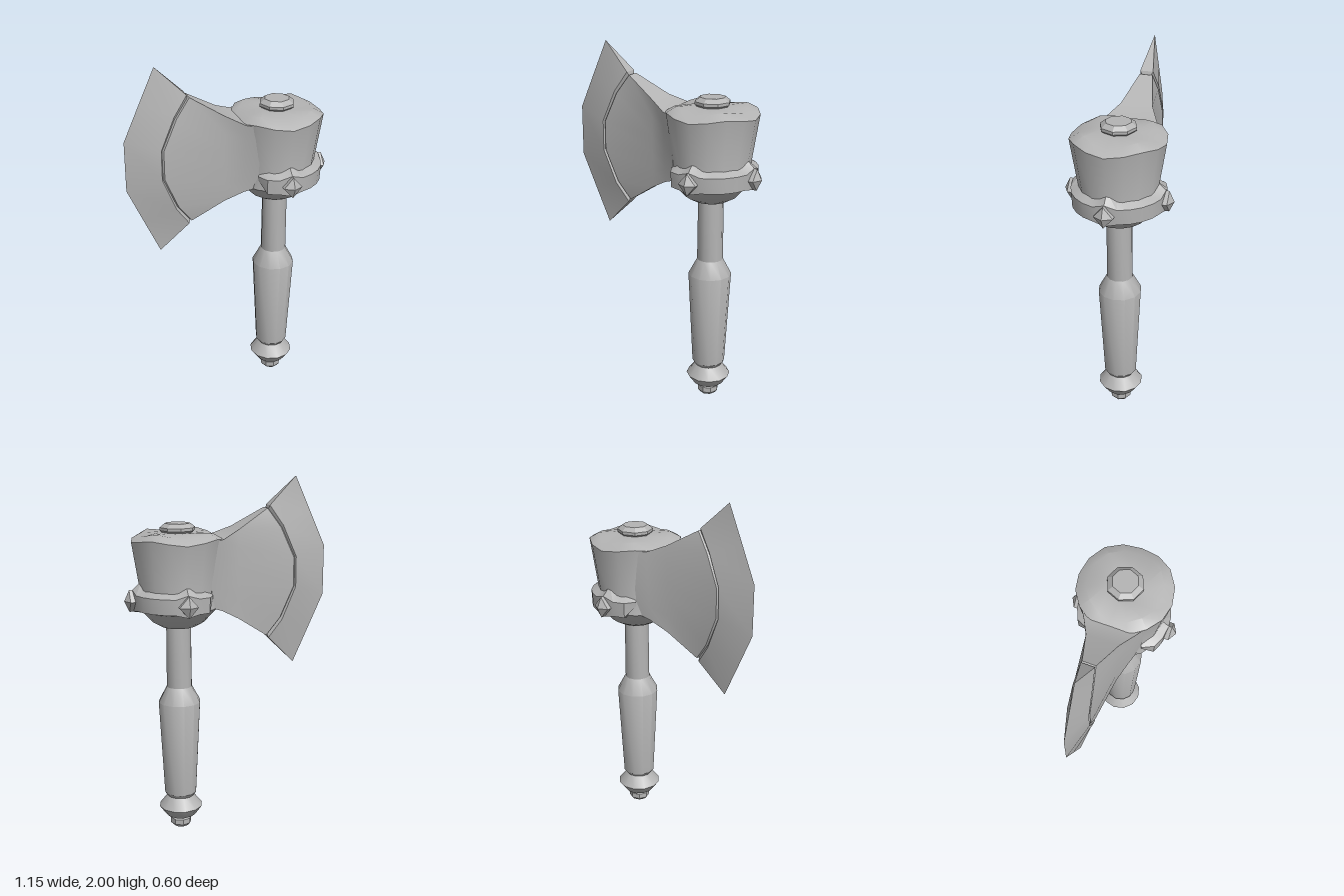
import * as THREE from 'three';
import { toCreasedNormals } from 'three/addons/utils/BufferGeometryUtils.js';

const AXIS = 0.273; // x of the handle's centre line

export function createModel() {
  const axe = new THREE.Group();
  axe.name = 'battleAxe';
  const steel = new THREE.MeshStandardMaterial({ color: 0xb4b4b4 });
  steel.name = 'grey steel';

  function add(name, geometry, crease = 0.6, x = AXIS) {
    const mesh = new THREE.Mesh(toCreasedNormals(geometry, crease), steel);
    mesh.name = name;
    mesh.position.x = x;
    axe.add(mesh);
    return mesh;
  }

  // Turned part from [radius, y] pairs, listed bottom to top
  const turned = (profile, sides) =>
    new THREE.LatheGeometry(profile.map(([r, y]) => new THREE.Vector2(r, y)), sides);

  // Skin over closed cross-sections, with both ends capped
  function loft(sections) {
    const n = sections[0].length;
    const index = [];
    for (let s = 0; s < sections.length - 1; s++) {
      for (let i = 0; i < n; i++) {
        const a = s * n + i, b = s * n + (i + 1) % n;
        index.push(a, b, b + n, a, b + n, a + n);
      }
    }
    const end = (sections.length - 1) * n;
    for (let i = 0, j = n - 1; i + 1 < j; i++, j--) {
      index.push(i, j, i + 1, j, j - 1, i + 1);
      index.push(end + i, end + i + 1, end + j, end + j, end + i + 1, end + j - 1);
    }
    const geometry = new THREE.BufferGeometry();
    geometry.setAttribute('position', new THREE.Float32BufferAttribute(sections.flat(2), 3));
    geometry.setIndex(index);
    return geometry;
  }

  // Handle: swelling grip and slim shaft
  add('grip', turned([[0, 0.18], [0.07, 0.18], [0.092, 0.21], [0.12, 0.755], [0.072, 0.845]], 12), 0.55);
  add('shaft', turned([[0.072, 0.84], [0.07, 1.22]], 12));
  add('pommel', turned([[0, 0.05], [0.055, 0.055], [0.085, 0.07], [0.125, 0.125], [0.07, 0.195], [0, 0.2]], 12), 0.65);
  add('pommelKnob', turned([[0, 0], [0.045, 0], [0.06, 0.017], [0.06, 0.047], [0.035, 0.065]], 8), 0.3);

  // Head: flared drum with a rounded underside and a rim that dips on the four axes
  const drum = turned([[0.06, 1.19], [0.1, 1.195], [0.145, 1.22], [0.185, 1.265], [0.225, 1.305],
    [0.212, 1.4], [0.254, 1.675], [0.2, 1.705], [0.1, 1.712], [0, 1.712]], 16);
  const p = drum.attributes.position;
  for (let i = 0; i < p.count; i++) {
    const x = p.getX(i), z = p.getZ(i);
    const wave = Math.cos(4 * Math.atan2(x, z));
    if (p.getY(i) > 1.6 && Math.hypot(x, z) > 0.15) p.setY(i, p.getY(i) - 0.012 * wave);
  }
  add('headDrum', drum, 0.6);
  add('topKnob', turned([[0.08, 1.705], [0.098, 1.722], [0.098, 1.738], [0.07, 1.76], [0, 1.76]], 8), 0.3);

  // Collar: open band, peaked above each stud, narrowing to its two ends
  const band = [];
  for (let k = 0; k <= 18; k++) {
    const angle = THREE.MathUtils.degToRad(-45 + k * 15);
    const peak = [3, 9, 15].includes(k) ? 1 : 0;
    const taper = k === 0 || k === 18 ? 1 : 0;
    const at = (r, y) => [Math.sin(angle) * r, y, Math.cos(angle) * r];
    band.push([
      at(0.254 - 0.03 * taper, 1.385 + 0.02 * peak),
      at(0.25 - 0.03 * taper, 1.3 - 0.015 * peak + 0.06 * taper),
      at(0.195, 1.285 + 0.07 * taper),
      at(0.2, 1.415 + 0.04 * peak - 0.015 * taper),
    ]);
  }
  add('collar', loft(band), 0.5);

  // Pointed studs on the front, left and back of the collar
  for (const angle of [0, Math.PI / 2, Math.PI]) {
    const stud = turned([[0.052, 0.22], [0.052, 0.272], [0, 0.3]], 4);
    stud.rotateX(Math.PI / 2).scale(1, 1.15, 1).rotateY(angle);
    add('collarStud', stud, 0.1).position.y = 1.345;
  }

  // Blade and neck: rows run top to bottom on the front, then back up behind
  const around = (front) => [...front, ...front.slice().reverse().map(([x, y, z]) => [x, y, -z])];
  const curve = [[-0.24, 1.845, 0.036], [-0.315, 1.735, 0.05], [-0.39, 1.56, 0.058],
    [-0.39, 1.39, 0.058], [-0.315, 1.205, 0.05], [-0.24, 1.1, 0.036]];
  const shifted = (dx, inset, dz) => curve.map(([x, y, z]) =>
    [x + dx, 1.47 + (y - 1.47) * inset, z + dz]);
  const column = (x, top, bottom, zTop, zBottom) => curve.map((_, i) => {
    const t = i / 5;
    return [x, top + (bottom - top) * t, zTop + (zBottom - zTop) * t];
  });
  const edge = [[-0.4, 2, 0], [-0.488, 1.805, 0], [-0.575, 1.61, 0],
    [-0.575, 1.33, 0], [-0.488, 1.135, 0], [-0.4, 0.94, 0]];
  const groove = around(shifted(0.006, 0.95, -0.01));
  add('blade', loft([around(edge), around(curve), groove]), 0.25, 0);
  add('bladeNeck', loft([
    groove,
    around(shifted(0.014, 0.96, 0)),
    around(column(-0.05, 1.725, 1.23, 0.087, 0.08)),
    around(column(0.05, 1.68, 1.285, 0.14, 0.115)),
    around(column(0.12, 1.675, 1.31, 0.185, 0.14)),
  ]), 0.5, 0);

  return axe;
}
